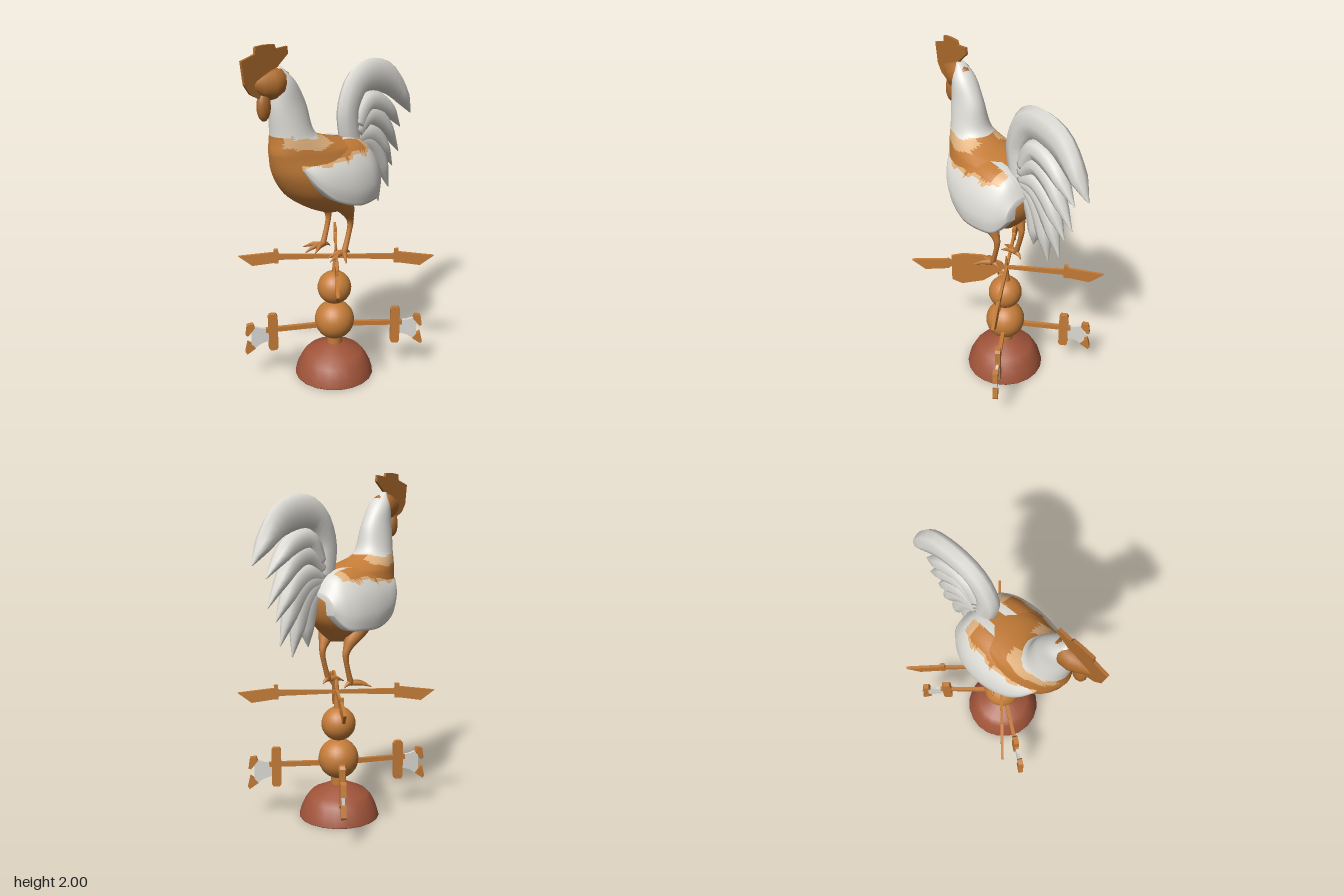
import * as THREE from 'three';

const paint = (name, color) => Object.assign(new THREE.MeshStandardMaterial({ color }), { name });

export function createModel() {
  const model = new THREE.Group();
  model.name = 'roosterWeathervane';
  const orange = paint('copper', 0xc47c38), tan = paint('paleCopper', 0xdfb07c);
  const white = paint('white', 0xdedcd6), brown = paint('combCopper', 0xad6b2d), red = paint('redBase', 0xa0543a);
  orange.side = white.side = THREE.FrontSide;
  const V = (x, y, z) => new THREE.Vector3(x, y, z);

  const add = (name, geo, mat, parent = model, x = 0, y = 0, z = 0) => {
    const m = new THREE.Mesh(geo, mat);
    m.name = name;
    m.position.set(x, y, z);
    parent.add(m);
    return m;
  };

  // Resample rows of numbers along a smooth curve
  const resample = (rows, n) => Array.from({ length: n + 1 }, (_, k) => {
    const u = k / n * (rows.length - 1), i = Math.min(Math.floor(u), rows.length - 2), t = u - i;
    const at = j => rows[Math.max(0, Math.min(rows.length - 1, j))];
    return rows[0].map((_, c) => {
      const [a, b, d, e] = [at(i - 1)[c], at(i)[c], at(i + 1)[c], at(i + 2)[c]];
      return b + 0.5 * t * (d - a + t * (2 * a - 5 * b + 4 * d - e + t * (3 * (b - d) + e - a)));
    });
  });

  // Skin closed rings, cap both ends; rule(centroid) picks the colour index
  const loft = (rings, colours = 1, rule = () => 0) => {
    const n = rings[0].length, pts = rings.flat(), tris = [];
    const tri = (a, b, c) => tris.push([a, b, c]);
    for (let i = 0; i < rings.length - 1; i++) for (let j = 0; j < n; j++) {
      const a = i * n + j, b = i * n + (j + 1) % n;
      tri(a, b, a + n);
      tri(b, b + n, a + n);
    }
    [0, rings.length - 1].forEach((r, end) => {
      const c = pts.length;
      pts.push(rings[r].reduce((s, p) => s.add(p), V(0, 0, 0)).divideScalar(n));
      for (let j = 0; j < n; j++) {
        const a = r * n + j, b = r * n + (j + 1) % n;
        end ? tri(a, b, c) : tri(b, a, c);
      }
    });
    const mid = pts.reduce((s, p) => s.add(p), V(0, 0, 0)).divideScalar(pts.length);
    let volume = 0;
    for (const [a, b, c] of tris) {
      volume += pts[a].clone().sub(mid).dot(pts[b].clone().sub(mid).cross(pts[c].clone().sub(mid)));
    }
    if (volume < 0) tris.forEach(t => t.reverse());
    const geo = new THREE.BufferGeometry().setFromPoints(pts), index = [];
    const bins = Array.from({ length: colours }, () => []);
    for (const t of tris) {
      const c = V(0, 0, 0);
      t.forEach(k => c.addScaledVector(pts[k], 1 / 3));
      bins[rule(c)].push(...t);
    }
    bins.forEach((bin, k) => {
      geo.addGroup(index.length, bin.length, k);
      for (const v of bin) index.push(v);
    });
    geo.setIndex(index);
    geo.computeVertexNormals();
    return geo;
  };

  // Flat cut-out in the xy plane, centred on its thickness
  const cutout = (points, depth) => new THREE.ExtrudeGeometry(
    new THREE.Shape(points.map(p => new THREE.Vector2(...p))), { depth, bevelEnabled: false }).translate(0, 0, -depth / 2);

  // Base, post and balls
  const base = [[0, 0], [0.235, 0], [0.235, 0.004], [0.222, 0.05], [0.195, 0.105], [0.165, 0.14], [0.06, 0.19], [0, 0.2]];
  add('base', new THREE.LatheGeometry(base.map(p => new THREE.Vector2(...p)), 20), red, model, 0, 0, 0.02);
  add('post', new THREE.CylinderGeometry(0.045, 0.045, 0.08, 16), orange, model, 0, 0.2, 0.015);
  add('lowerBall', new THREE.SphereGeometry(0.118, 24, 16), orange, model, 0, 0.345, 0.015);
  add('upperBall', new THREE.SphereGeometry(0.1, 24, 16), orange, model, 0, 0.555, 0.015);
  add('spindle', new THREE.CylinderGeometry(0.004, 0.024, 0.18, 10), orange, model, 0, 0.73, 0.005);

  // Direction arms with flared ends, on three diagonals
  for (const [sx, sz] of [[-1, 1], [1, -1], [-1, -1]]) {
    const arm = new THREE.Group();
    arm.name = 'directionArm';
    arm.position.set(0, 0, 0.02);
    arm.rotation.y = Math.atan2(-sz * 1.06, sx * (sz > 0 ? 0.7 : 1));
    model.add(arm);
    add('armBar', new THREE.BoxGeometry(0.4, 0.028, 0.022), orange, arm, 0.21, 0.318, 0);
    add('armPlate', cutout([[0.34, 0.2], [0.35, 0.185], [0.385, 0.185], [0.395, 0.2], [0.395, 0.405],
      [0.385, 0.42], [0.35, 0.42], [0.34, 0.405]], 0.03), orange, arm);
    add('flare', cutout([[0.39, 0.25], [0.44, 0.235], [0.5, 0.195], [0.495, 0.28], [0.5, 0.355], [0.44, 0.335], [0.39, 0.33]], 0.016), white, arm);
    add('upperProng', cutout([[0.475, 0.345], [0.515, 0.295], [0.53, 0.3], [0.52, 0.365], [0.485, 0.37]], 0.03), orange, arm);
    add('lowerProng', cutout([[0.475, 0.21], [0.525, 0.175], [0.535, 0.19], [0.52, 0.255], [0.5, 0.24]], 0.03), orange, arm);
  }

  // Crossed arrows on all four diagonals
  for (const sx of [-1, 1]) for (const sz of [-1, 1]) {
    const arrow = new THREE.Group();
    arrow.name = 'arrowArm';
    arrow.rotation.y = Math.atan2(-sz, sx);
    model.add(arrow);
    add('arrowBlade', cutout([[0, 0.738], [0.33, 0.728], [0.35, 0.71], [0.49, 0.69], [0.57, 0.75],
      [0.35, 0.775], [0.33, 0.762], [0, 0.758]], 0.016), orange, arrow);
    if (sx > 0 && sz > 0) {
      add('arrowFin', cutout([[0.01, 0.74], [0.14, 0.64], [0.27, 0.605], [0.33, 0.63], [0.33, 0.8],
        [0.26, 0.82], [0.14, 0.82], [0.03, 0.78]], 0.014), orange, arrow);
    } else add('arrowTab', new THREE.BoxGeometry(0.025, 0.085, 0.022), orange, arrow, 0.35, 0.75, 0);
  }

  // Body and neck: y, front z, back z, half width
  const slices = resample([[1.045, 0.1, -0.04, 0.05], [1.1, 0.22, -0.1, 0.13], [1.19, 0.35, -0.17, 0.185],
    [1.31, 0.43, -0.19, 0.203], [1.42, 0.46, -0.14, 0.172], [1.46, 0.463, -0.02, 0.152], [1.5, 0.458, 0.13, 0.128],
    [1.55, 0.456, 0.21, 0.107], [1.69, 0.465, 0.25, 0.08], [1.81, 0.45, 0.32, 0.064], [1.885, 0.43, 0.4, 0.025]], 60);
  const bodyRings = slices.map(([y, f, b, w]) => Array.from({ length: 36 }, (_, j) => {
    const a = j / 36 * Math.PI * 2;
    return V(w * Math.sin(a), y, (f + b) / 2 + (f - b) / 2 * Math.cos(a));
  }));
  add('bodyAndNeck', loft(bodyRings, 3, c => {
    const edge = (c.z > 0.4 ? 1.525 : 1.5) + 0.008 * Math.sin(c.z * 40);
    if (c.y > edge + 0.02) return 0;
    return c.y > edge - 0.035 && Math.abs(c.x) > 0.055 && c.z > 0.16 ? 1 : 2;
  }), [white, tan, orange]);

  // Wings: z, top y, bottom y, outward reach
  const wingRows = resample([[0.375, 1.415, 1.37, 0.13], [0.31, 1.432, 1.265, 0.192], [0.22, 1.45, 1.185, 0.232],
    [0.08, 1.465, 1.135, 0.255], [-0.05, 1.455, 1.13, 0.243], [-0.14, 1.42, 1.14, 0.205], [-0.2, 1.33, 1.22, 0.15]], 40);
  const outer = resample([[0.33, 0], [0.55, 0.06], [0.74, 0.2], [0.92, 0.45], [1, 0.75], [0.96, 1]], 18);
  for (const s of [-1, 1]) {
    const rings = wingRows.map(([z, top, low, reach]) => {
      const at = (k, t, inset) => V(s * (k * reach - inset), top + (low - top) * t, z);
      return [...outer.map(([k, t]) => at(k, t, 0)), ...[...outer].reverse().map(([k, t]) => at(k, t, 0.045))];
    });
    add(s > 0 ? 'leftWing' : 'rightWing', loft(rings, 3, c => {
      const edge = 1.398 + 0.008 * Math.sin(c.z * 45) - (c.z > 0.1 ? 0.012 : 0);
      const x = Math.abs(c.x);
      if (c.y > edge + 0.012 && c.z > -0.07 && x > 0.085) return 2;
      return c.y > edge - 0.008 && c.z > -0.12 && x > 0.08 ? 1 : 0;
    }), [white, tan, orange]);
  }

  // Tail feathers: path and half width as z, y, w, tapering in thickness at the tip
  const feather = (name, path, thick) => {
    const rows = resample(path, 20);
    const rings = rows.map(([z, y, w], i) => {
      const p = rows[Math.max(0, i - 1)], q = rows[Math.min(20, i + 1)];
      const len = Math.hypot(q[0] - p[0], q[1] - p[1]), nz = -(q[1] - p[1]) / len, ny = (q[0] - p[0]) / len;
      return Array.from({ length: 8 }, (_, j) => {
        const c = Math.cos(j * Math.PI / 4), d = Math.sin(j * Math.PI / 4) * thick * Math.min(1, w / 0.04);
        return V(d, y + ny * w * c, z + nz * w * c);
      });
    });
    add(name, loft(rings), white);
  };
  feather('sickleFeather', [[-0.12, 1.4, 0.07], [-0.096, 1.5, 0.07], [-0.095, 1.61, 0.073], [-0.16, 1.73, 0.085], [-0.27, 1.768, 0.093],
    [-0.42, 1.735, 0.09], [-0.53, 1.64, 0.06], [-0.645, 1.5, 0.003]], 0.05);
  [[[-0.16, 1.5], [-0.24, 1.62], [-0.39, 1.58], [-0.55, 1.43]],
    [[-0.15, 1.46], [-0.25, 1.54], [-0.38, 1.48], [-0.54, 1.28]],
    [[-0.15, 1.42], [-0.25, 1.44], [-0.36, 1.37], [-0.485, 1.2]],
    [[-0.15, 1.4], [-0.26, 1.38], [-0.36, 1.27], [-0.455, 1.07]],
    [[-0.15, 1.38], [-0.24, 1.33], [-0.31, 1.2], [-0.365, 1.0]],
    [[-0.15, 1.35], [-0.22, 1.28], [-0.25, 1.17], [-0.24, 1.04]]].forEach((path, i) =>
    feather('tailFeather', path.map((p, k) => [...p, [0.05, 0.062, 0.055, 0.003][k]]), 0.05 - i * 0.003));

  // Head, comb, wattle
  const headRings = [[0.36, 1.82, 0.03, 0.04], [0.42, 1.81, 0.066, 0.078], [0.47, 1.8, 0.06, 0.075], [0.53, 1.8, 0.03, 0.05], [0.58, 1.81, 0.005, 0.015]]
    .map(([z, y, w, h]) => Array.from({ length: 12 }, (_, j) =>
      V(w * Math.cos(j * Math.PI / 6), y + h * Math.sin(j * Math.PI / 6), z)));
  add('head', loft(headRings), brown);
  const comb = cutout([[0.65, 1.935], [0.565, 1.96], [0.56, 1.995], [0.5, 2], [0.44, 1.998], [0.43, 1.975], [0.355, 1.982],
    [0.352, 1.945], [0.42, 1.89], [0.43, 1.78], [0.47, 1.73], [0.54, 1.74], [0.6, 1.77], [0.635, 1.82]], 0.016);
  add('comb', comb.rotateY(-Math.PI / 2), brown);
  const wattle = add('wattle', new THREE.SphereGeometry(1, 12, 10), brown, model, 0, 1.7, 0.515);
  wattle.scale.set(0.03, 0.075, 0.04);

  // Legs and toes
  for (const s of [-1, 1]) {
    const leg = resample([[0.1, 1.16, 0.1, 0.085], [0.1, 1.08, 0.04, 0.058], [0.092, 1.02, -0.005, 0.03], [0.088, 0.97, -0.025, 0.018],
      [0.087, 0.9, -0.01, 0.015], [0.086, 0.8, 0.025, 0.018]], 20);
    add('leg', loft(leg.map(([x, y, z, r]) => Array.from({ length: 10 }, (_, j) =>
      V(s * (x + r * Math.cos(j * Math.PI / 5)), y, z + r * Math.sin(j * Math.PI / 5))))), orange);
    for (const [x, z] of [[0.1, 0.15], [0.175, 0.1], [0.05, 0.12], [0.08, -0.03]]) {
      const toe = resample([[0.086, 0.805, 0.025, 0.016], [(x + 0.086) / 2, 0.805, (z + 0.025) / 2, 0.013], [x, 0.785, z, 0.003]], 6);
      const d = V(x - 0.086, 0, z - 0.025).normalize();
      add('toe', loft(toe.map(([px, y, pz, r]) => Array.from({ length: 6 }, (_, j) => {
        const c = r * Math.cos(j * Math.PI / 3);
        return V(s * (px + d.z * c), y + r * Math.sin(j * Math.PI / 3), pz - d.x * c);
      }))), orange);
    }
  }
  return model;
}
